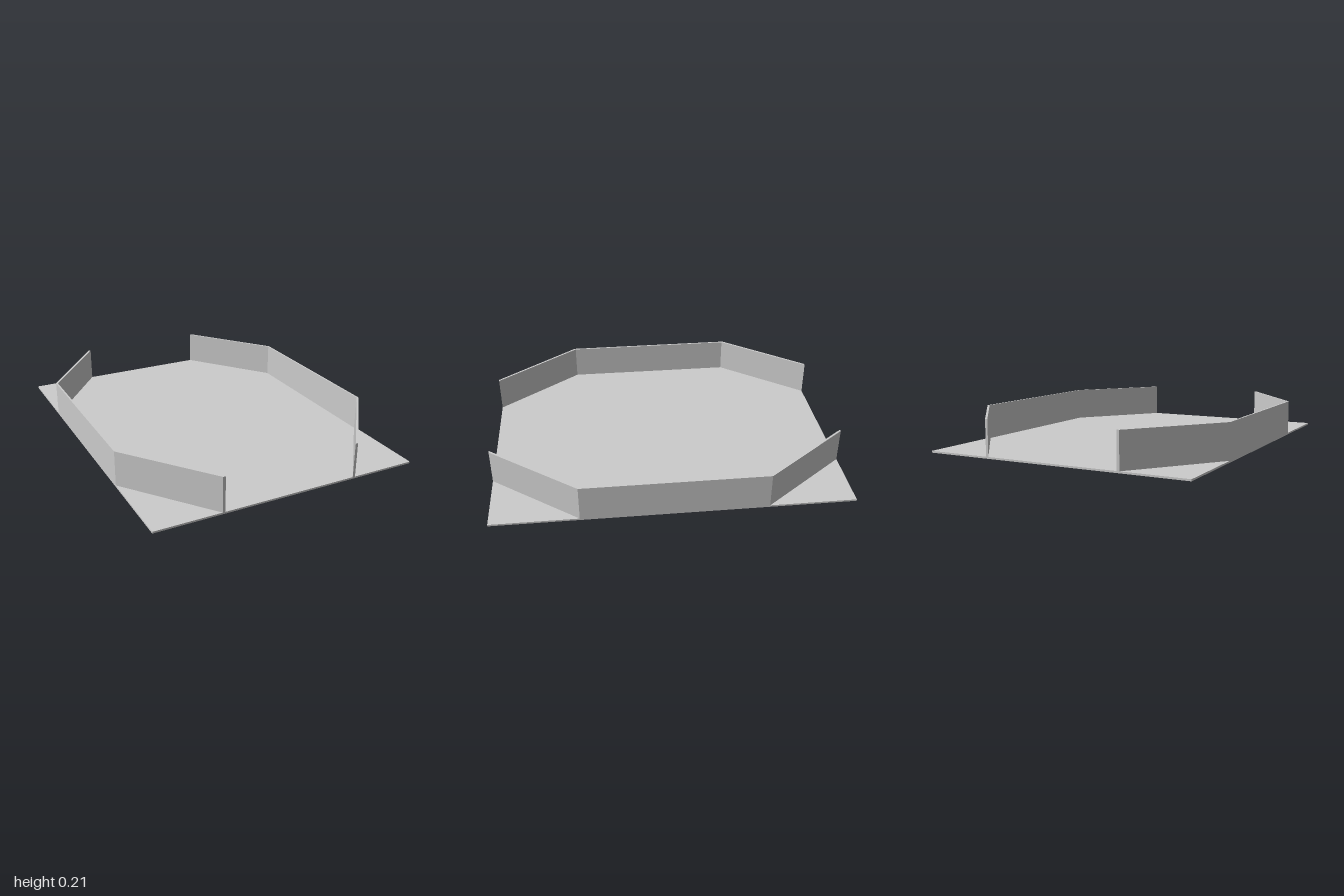
import * as THREE from 'three';

const WIDTH = 1.55, LENGTH = 2, PLATE = 0.01, WALL_HEIGHT = 0.2;

export function createModel() {
  const model = new THREE.Group();
  model.name = 'walledTray';
  const material = new THREE.MeshStandardMaterial({ color: 0xcccccc, flatShading: true });

  // Flat rectangular base
  const base = new THREE.Mesh(new THREE.BoxGeometry(WIDTH, PLATE, LENGTH), material);
  base.name = 'basePlate';
  base.position.y = PLATE / 2;
  model.add(base);

  // Plan outline of one wall: a long side with two angled ends
  const outline = new THREE.Shape([
    [0.4, -1], [0.775, -0.515], [0.775, 0.515], [0.4, 1],
    [0.385, 1], [0.765, 0.508], [0.765, -0.508], [0.385, -1],
  ].map(([x, y]) => new THREE.Vector2(x, y)));
  const wallGeometry = new THREE.ExtrudeGeometry(outline, { depth: WALL_HEIGHT, bevelEnabled: false });
  wallGeometry.rotateX(-Math.PI / 2);

  // The same wall on both sides, turned half round
  for (const [name, turn] of [['leftWall', 0], ['rightWall', Math.PI]]) {
    const wall = new THREE.Mesh(wallGeometry, material);
    wall.name = name;
    wall.position.y = PLATE;
    wall.rotation.y = turn;
    model.add(wall);
  }

  return model;
}
